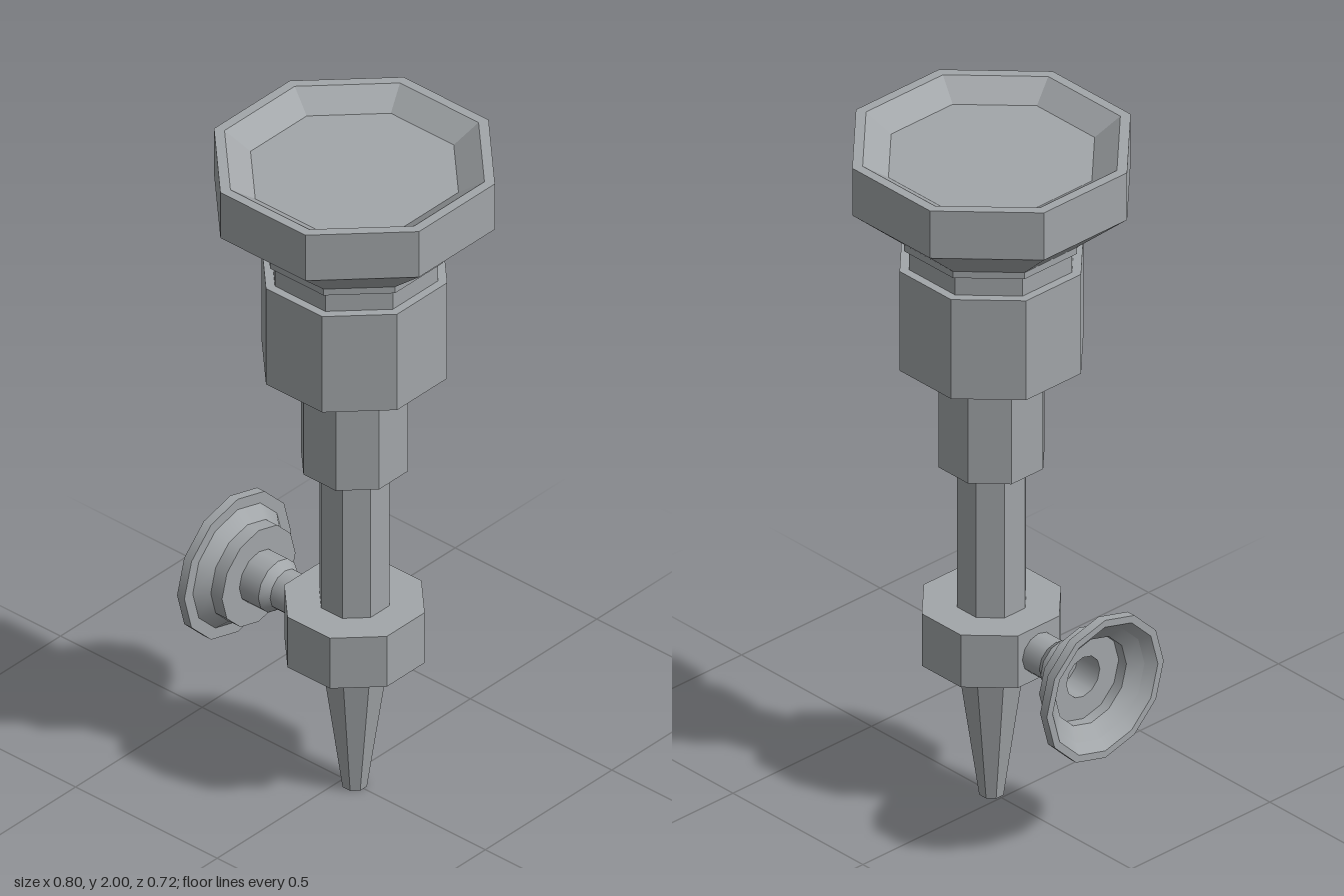
import * as THREE from 'three';
import { mergeGeometries } from 'three/addons/utils/BufferGeometryUtils.js';

const AXIS_X = 0.038;
const metal = new THREE.MeshStandardMaterial({ color: 0xa2a6a9 });
metal.name = 'greyMetal';

// Faceted octagonal solid from [apothem, y] pairs, with flats facing the axes
function octagon(name, profile) {
  const points = profile.map(([a, y]) => new THREE.Vector2(a / Math.cos(Math.PI / 8), y));
  const geometry = new THREE.LatheGeometry(points, 8, Math.PI / 8).toNonIndexed();
  geometry.computeVertexNormals();
  const mesh = new THREE.Mesh(geometry, metal);
  mesh.name = name;
  mesh.position.x = AXIS_X;
  return mesh;
}

// Closed octagonal prism or taper
const section = (name, y0, y1, a0, a1 = a0) => octagon(name, [[0, y0], [a0, y0], [a1, y1], [0, y1]]);

// Smooth round surface with a crease at every profile point, from [radius, x] pairs
function turned(name, profile, sides) {
  const bands = [];
  for (let i = 0; i < profile.length - 1; i++) {
    const pair = [profile[i], profile[i + 1]].map(([r, x]) => new THREE.Vector2(r, x));
    bands.push(new THREE.LatheGeometry(pair, sides));
  }
  const mesh = new THREE.Mesh(mergeGeometries(bands).rotateZ(-Math.PI / 2), metal);
  mesh.name = name;
  return mesh;
}

export function createModel() {
  const model = new THREE.Group();
  model.name = 'octagonalHorn';

  // Stepped column
  model.add(
    section('tip', 0, 0.43, 0.032, 0.09),
    section('collar', 0.43, 0.59, 0.181),
    section('shaft', 0.59, 1.03, 0.09),
    section('lowerBarrel', 1.03, 1.35, 0.138),
    section('upperBarrel', 1.35, 1.655, 0.239),
    section('neck', 1.655, 1.715, 0.215),
  );

  // Flared cup with a shallow recess
  model.add(octagon('cup', [
    [0, 1.715], [0.228, 1.715], [0.228, 1.735], [0.362, 1.855], [0.362, 2],
    [0.335, 2], [0.268, 1.95], [0, 1.95],
  ]));

  // Side bell: hollow inside first, then rim and outer steps into the collar
  const bell = turned('sideBell', [
    [0, -0.23], [0.06, -0.23], [0.06, -0.315], [0.128, -0.315], [0.128, -0.345],
    [0.165, -0.375], [0.19, -0.4], [0.211, -0.4], [0.211, -0.374], [0.178, -0.374],
    [0.145, -0.34], [0.145, -0.3], [0.077, -0.3], [0.077, -0.233], [0.058, -0.208],
    [0.058, -0.13],
  ], 12);
  bell.position.y = 0.509;
  model.add(bell);

  return model;
}
